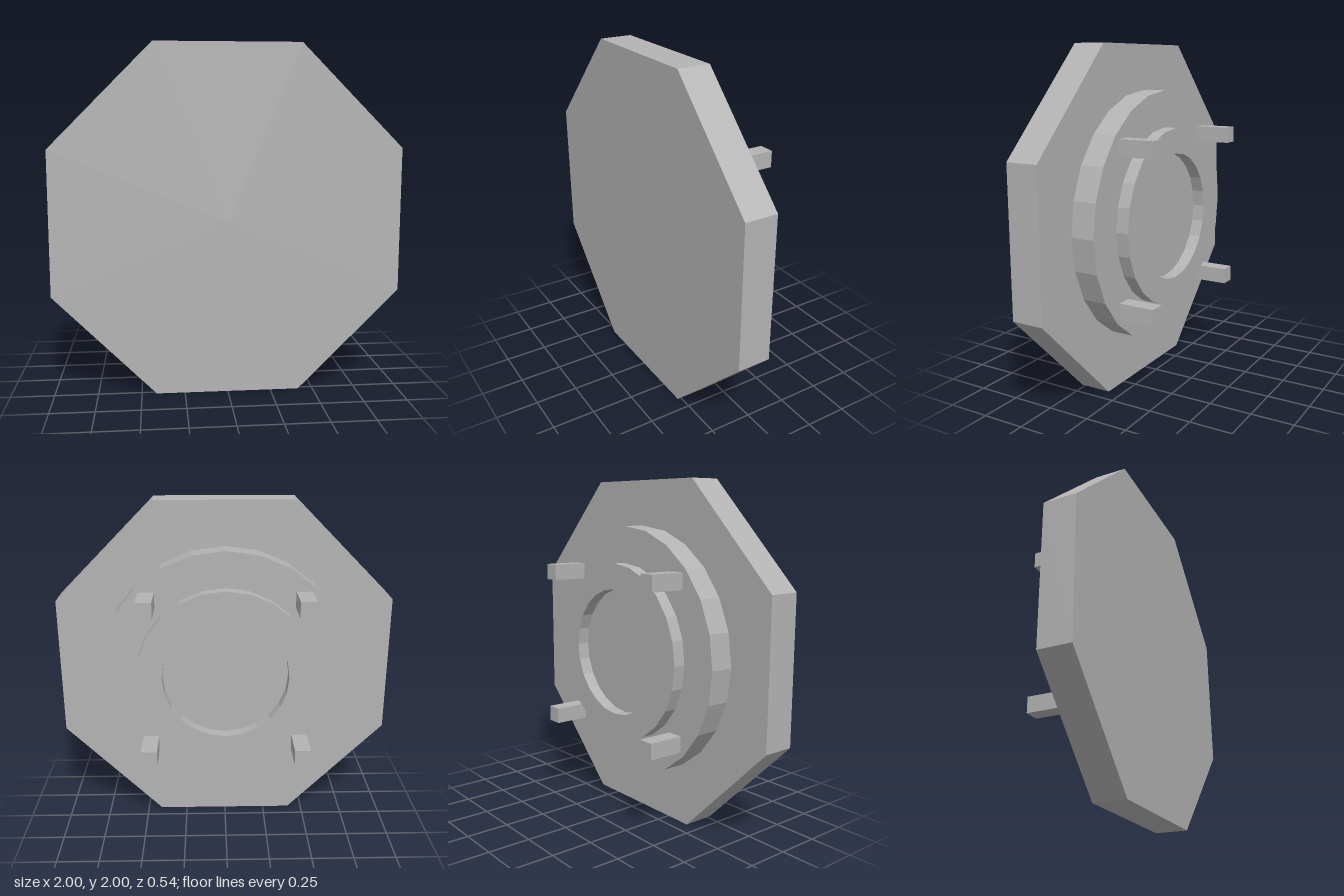
import * as THREE from 'three';

export function createModel() {
  const model = new THREE.Group();
  model.name = 'octagonalPlate';
  const grey = new THREE.MeshStandardMaterial({ color: 0xb3b3b3, flatShading: true });
  grey.name = 'plain grey';

  const add = (name, geometry, x, y, z) => {
    const mesh = new THREE.Mesh(geometry, grey);
    mesh.name = name;
    mesh.position.set(x, y, z);
    model.add(mesh);
  };

  // Prism lying along z between two depths
  const prism = (radius, sides, back, front, turn = 0) =>
    new THREE.CylinderGeometry(radius, radius, front - back, sides, 1, false, turn)
      .rotateX(-Math.PI / 2)
      .translate(0, 0, (front + back) / 2);

  // Octagonal face plate, flat sides on the axes
  add('facePlate', prism(1 / Math.cos(Math.PI / 8), 8, 0.082, 0.272, Math.PI / 8), 0, 1, 0);

  // Round backing disc
  add('backingDisc', prism(0.738, 24, -0.058, 0.082), 0, 1, 0);

  // Raised collar with an open centre
  const profile = [[0.525, 0.058], [0.525, 0.132], [0.375, 0.132], [0.375, 0.058]]
    .map(([r, h]) => new THREE.Vector2(r, h));
  add('collar', new THREE.LatheGeometry(profile, 24).rotateX(-Math.PI / 2), 0, 1, 0);

  // Four square mounting pegs
  for (const sx of [-1, 1]) {
    for (const sy of [-1, 1]) {
      add('mountingPeg', new THREE.BoxGeometry(0.094, 0.094, 0.214), sx * 0.454, 1 + sy * 0.454, -0.165);
    }
  }
  return model;
}
